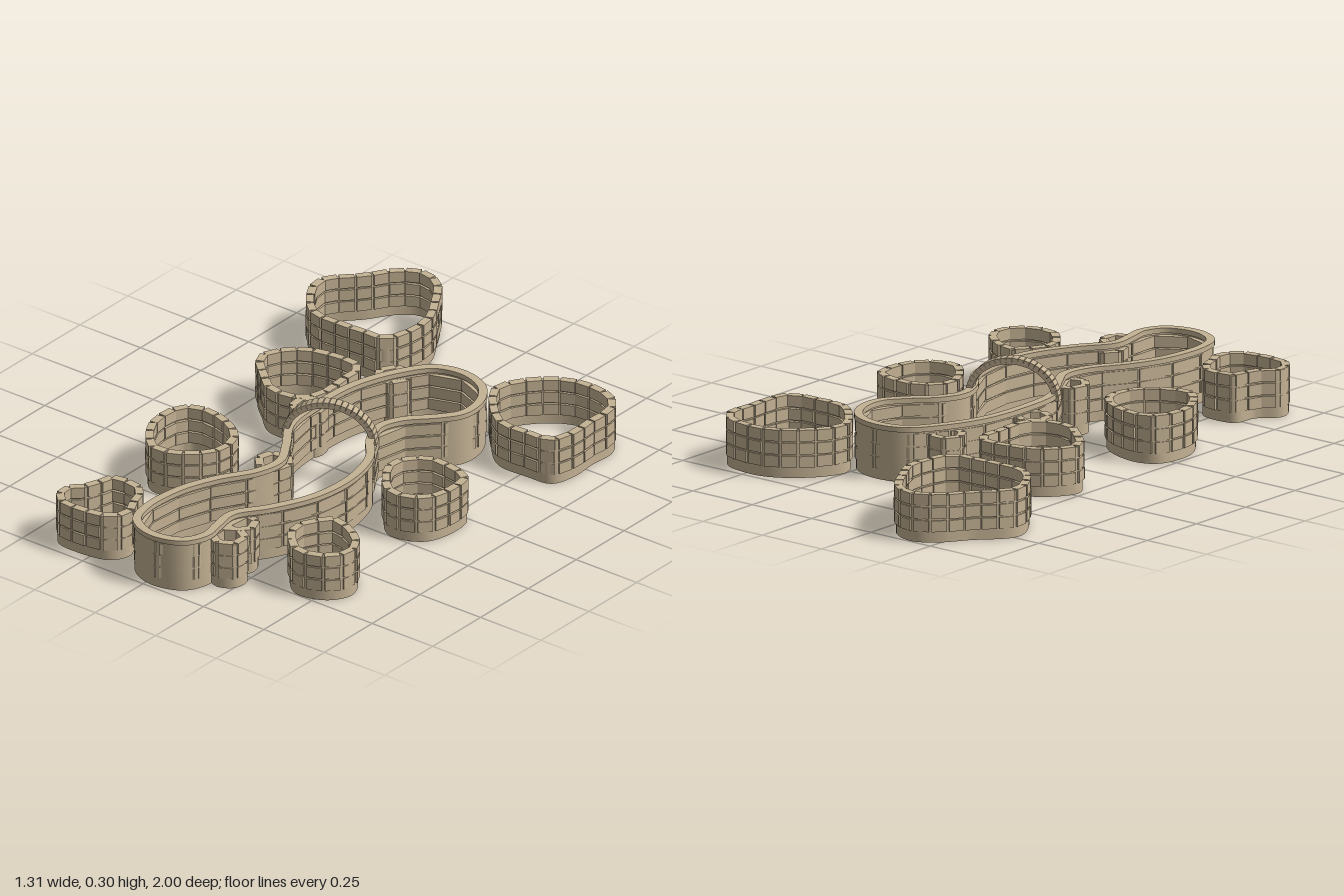
import * as THREE from 'three';
import { mergeGeometries, toCreasedNormals } from 'three/addons/utils/BufferGeometryUtils.js';

// Outlines of the wall centre lines, as [x, z] points, clockwise from above
const POOL = [[.14, -.502], [.24, -.467], [.297, -.385], [.303, -.29], [.257, -.22], [.175, -.13], [.147, -.05],
  [.18, .04], [.255, .14], [.292, .29], [.277, .45], [.21, .6], [.14, .71], [.15, .8], [.162, .875], [.125, .95],
  [.02, .98], [-.075, .937], [-.107, .85], [-.097, .69], [-.05, .56], [.025, .43], [.04, .335], [-.01, .24],
  [-.085, .12], [-.105, -.05], [-.09, -.235], [-.025, -.395], [.04, -.477]];

const BEDS = {
  backLeftBed: [[-.42, -.988], [-.335, -.96], [-.255, -.845], [-.207, -.755], [-.203, -.66], [-.235, -.562],
    [-.31, -.555], [-.4, -.55], [-.52, -.555], [-.6, -.63], [-.643, -.74], [-.55, -.86], [-.49, -.945]],
  backRightBed: [[.49, -.723], [.59, -.7], [.637, -.64], [.635, -.53], [.64, -.45], [.615, -.358], [.53, -.348],
    [.41, -.35], [.325, -.42], [.258, -.52], [.285, -.6], [.365, -.685], [.44, -.72]],
  upperLeftBed: [[-.31, -.365], [-.18, -.357], [-.17, -.24], [-.162, -.16], [-.197, -.08], [-.31, -.064],
    [-.385, -.12], [-.475, -.22], [-.412, -.327]],
  middleLeftBed: [[-.395, .18], [-.27, .21], [-.197, .275], [-.19, .37], [-.255, .45], [-.36, .485], [-.432, .42],
    [-.475, .33], [-.458, .21]],
  frontLeftBed: [[-.29, .718], [-.218, .735], [-.187, .81], [-.157, .88], [-.187, .936], [-.29, .958], [-.383, .948],
    [-.42, .88], [-.362, .81], [-.348, .732]],
  middleRightBed: [[.4, -.015], [.47, -.01], [.55, .012], [.567, .1], [.535, .205], [.43, .243], [.353, .178],
    [.308, .08], [.343, .018]],
  frontRightBed: [[.395, .502], [.46, .516], [.543, .573], [.573, .645], [.533, .713], [.435, .74], [.358, .677],
    [.328, .62], [.353, .56]],
};

// Centres of the little stone planters beside the pool
const PLANTERS = [[-.06, -.385], [-.145, -.05], [0, .315], [.17, .71], [.2, .805]];

export function createModel() {
  const model = new THREE.Group();
  const stone = new THREE.MeshStandardMaterial({ color: 0xc4b294 });
  stone.name = 'sandstone';

  let seed = 7;
  const jitter = (amount) => {
    seed = (seed * 16807) % 2147483647;
    return (seed / 2147483647 - 0.5) * 2 * amount;
  };
  const add = (parent, name, geometry) => {
    const mesh = new THREE.Mesh(geometry, stone);
    mesh.name = name;
    parent.add(mesh);
  };
  const closedCurve = (points) =>
    new THREE.CatmullRomCurve3(points.map(([x, z]) => new THREE.Vector3(x, 0, z)), true, 'centripetal');

  // Smooth continuous wall that follows a closed curve, sampled backwards so the outline is counterclockwise
  function band(curve, samples, half, y0, y1) {
    const edge = (offset) => Array.from({ length: samples }, (_, i) => {
      const u = 1 - i / samples;
      const p = curve.getPointAt(u), t = curve.getTangentAt(u);
      return new THREE.Vector2(p.x + t.z * offset, -(p.z - t.x * offset));
    });
    const shape = new THREE.Shape(edge(half));
    shape.holes.push(new THREE.Path(edge(-half)));
    const geometry = new THREE.ExtrudeGeometry(shape, { depth: y1 - y0, bevelEnabled: false });
    geometry.rotateX(-Math.PI / 2).translate(0, y0, 0);
    return toCreasedNormals(geometry, 0.6);
  }

  // Three courses of straight blocks laid as chords along the curve
  function courses(curve, count, thickness) {
    const blocks = [];
    const bottom = 0.037, rise = 0.0442;
    for (let row = 0; row < 3; row++) {
      for (let i = 0; i < count; i++) {
        const p = curve.getPointAt(i / count), q = curve.getPointAt((i + 1) / count);
        const block = new THREE.BoxGeometry(p.distanceTo(q) - 0.006, rise - 0.006, thickness + jitter(0.0015));
        block.rotateY(-Math.atan2(q.z - p.z, q.x - p.x) + jitter(0.025));
        block.translate((p.x + q.x) / 2, bottom + rise * (row + 0.5) + jitter(0.001), (p.z + q.z) / 2);
        blocks.push(block);
      }
    }
    return mergeGeometries(blocks);
  }

  function stoneRing(name, points, blockLength, samples) {
    const group = new THREE.Group();
    group.name = name;
    const curve = closedCurve(points);
    const count = Math.max(6, Math.round(curve.getLength() / blockLength));
    add(group, 'wallCore', band(curve, samples, 0.0065, 0.004, 0.163));
    add(group, 'stoneBlocks', courses(curve, count, 0.027));
    model.add(group);
  }

  // Garden beds and small planters
  for (const [name, points] of Object.entries(BEDS)) stoneRing(name, points, 0.056, 72);
  PLANTERS.forEach(([cx, cz], n) => {
    const ring = Array.from({ length: 6 }, (_, i) => {
      const a = (i / 6) * Math.PI * 2 + n * 0.4;
      return [cx + 0.055 * Math.cos(a), cz + 0.055 * Math.sin(a)];
    });
    stoneRing('smallPlanter', ring, 0.056, 30);
  });

  // Winding pool with its smooth coping
  const pool = new THREE.Group();
  pool.name = 'pool';
  const poolCurve = closedCurve(POOL);
  add(pool, 'poolWall', band(poolCurve, 180, 0.008, 0.004, 0.173));
  add(pool, 'poolBlocks', courses(poolCurve, 28, 0.027));
  add(pool, 'coping', band(poolCurve, 180, 0.0145, 0.173, 0.19));
  model.add(pool);

  // Arched footbridge made of a row of wedge stones
  const archPoint = (a) => new THREE.Vector2(-0.147 * Math.cos(a), 0.165 + 0.125 * Math.sin(a));
  const treads = [], steps = 24;
  for (let i = 0; i < steps; i++) {
    const p = archPoint((i / steps) * Math.PI), q = archPoint(((i + 1) / steps) * Math.PI);
    const tread = new THREE.BoxGeometry(p.distanceTo(q) * 0.96, 0.021, 0.038);
    tread.rotateZ(Math.atan2(q.y - p.y, q.x - p.x));
    tread.translate((p.x + q.x) / 2, (p.y + q.y) / 2, 0);
    treads.push(tread);
  }
  const bridge = mergeGeometries(treads);
  bridge.rotateY(Math.atan2(0.12, 0.265)).translate(0.043, 0, 0.077);
  add(model, 'archedBridge', bridge);

  return model;
}
